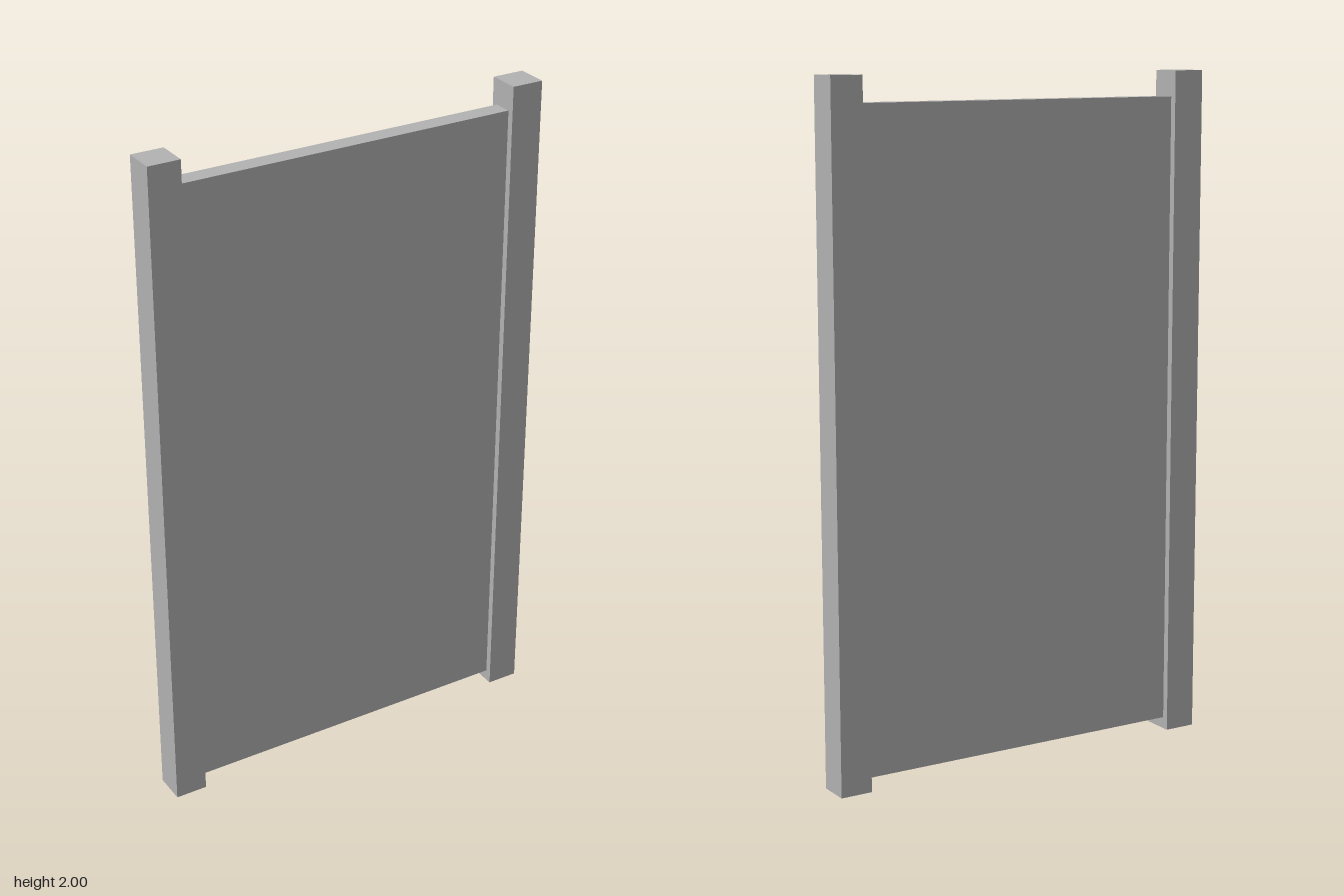
import * as THREE from 'three';

const POST = { size: 0.096, height: 2, x: 0.561 };
const PANEL = { bottom: 0.035, top: 1.925, depth: 0.056 };

// Box standing on its origin, with the underside left open
function openBox(width, height, depth) {
  const geometry = new THREE.BoxGeometry(width, height, depth).translate(0, height / 2, 0);
  const index = Array.from(geometry.index.array);
  index.splice(18, 6); // the -y face
  geometry.setIndex(index);
  geometry.clearGroups();
  return geometry;
}

export function createModel() {
  const model = new THREE.Group();
  model.name = 'fencePanel';
  const grey = new THREE.MeshStandardMaterial({ color: 0xb2b2b2, side: THREE.DoubleSide });
  grey.name = 'plainGrey';

  // Square posts at both ends
  const postGeometry = openBox(POST.size, POST.height, POST.size);
  for (const [name, side] of [['leftPost', 1], ['rightPost', -1]]) {
    const post = new THREE.Mesh(postGeometry, grey);
    post.name = name;
    post.position.x = side * POST.x;
    model.add(post);
  }

  // Thin panel filling the gap between the posts
  const width = 2 * POST.x - POST.size;
  const panel = new THREE.Mesh(openBox(width, PANEL.top - PANEL.bottom, PANEL.depth), grey);
  panel.name = 'panel';
  panel.position.y = PANEL.bottom;
  model.add(panel);

  return model;
}
